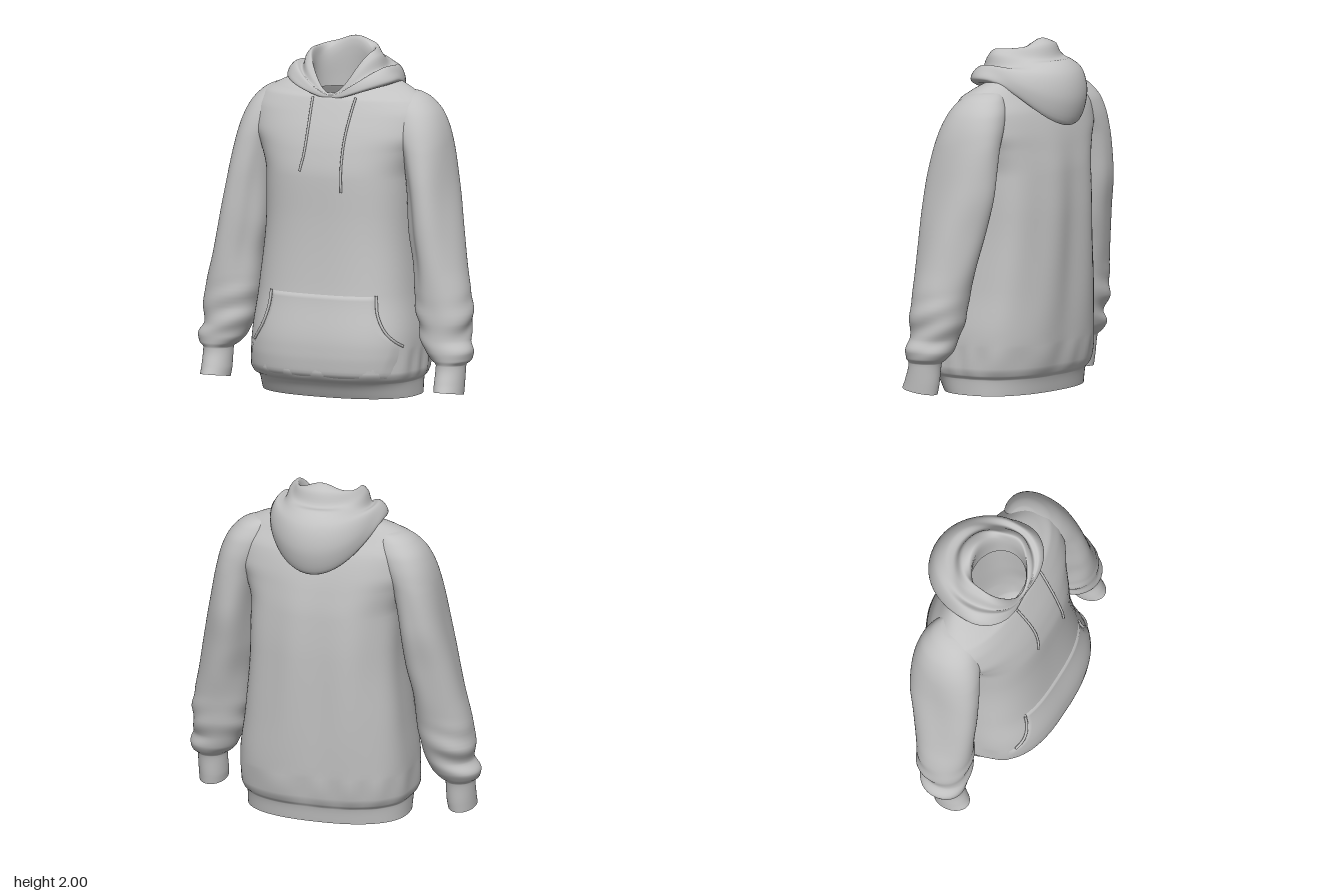
import * as THREE from 'three';

const fabric = new THREE.MeshStandardMaterial({ color: 0xc2c2c2, side: THREE.DoubleSide });
fabric.name = 'grey fabric';

// Cross-sections: [y, xMin, xMax, zFront, zBack, squareness, forward tilt]
const TORSO = [
  [0.00, -0.46, 0.48, 0.31, -0.30, 2.4, 0],
  [0.09, -0.46, 0.485, 0.365, -0.315, 2.5, 0],
  [0.115, -0.478, 0.505, 0.405, -0.33, 2.6, 0],
  [0.16, -0.488, 0.515, 0.425, -0.345, 2.7, 0],
  [0.30, -0.485, 0.515, 0.42, -0.36, 2.8, 0],
  [0.60, -0.46, 0.475, 0.36, -0.37, 2.8, 0],
  [1.00, -0.43, 0.445, 0.325, -0.375, 2.7, 0],
  [1.25, -0.435, 0.445, 0.317, -0.365, 2.6, 0],
  [1.40, -0.49, 0.49, 0.288, -0.345, 2.4, 0],
  [1.50, -0.545, 0.545, 0.255, -0.325, 2.25, 0],
  [1.60, -0.55, 0.55, 0.21, -0.295, 2.2, 0],
  [1.68, -0.505, 0.505, 0.17, -0.255, 2.1, 0],
  [1.735, -0.415, 0.415, 0.14, -0.22, 2, 0.15],
  [1.77, -0.31, 0.31, 0.13, -0.19, 2, 0.33],
  [1.785, -0.20, 0.20, 0.135, -0.17, 2, 0.45],
];
const SLEEVE = [
  [0.045, 0.66, 0.82, 0.235, 0.015, 2, -0.15],
  [0.10, 0.655, 0.82, 0.215, 0.005, 2, -0.1],
  [0.205, 0.655, 0.82, 0.19, -0.01, 2, 0],
  [0.235, 0.62, 0.85, 0.20, -0.04, 2, 0],
  [0.28, 0.58, 0.86, 0.205, -0.065, 2.1, 0],
  [0.35, 0.55, 0.825, 0.20, -0.08, 2.1, 0],
  [0.45, 0.525, 0.835, 0.20, -0.11, 2.2, 0],
  [0.60, 0.50, 0.815, 0.20, -0.13, 2.2, 0],
  [0.75, 0.49, 0.78, 0.20, -0.16, 2.2, 0],
  [0.95, 0.455, 0.74, 0.20, -0.20, 2.2, 0],
  [1.20, 0.435, 0.69, 0.19, -0.245, 2.2, 0],
  [1.40, 0.40, 0.655, 0.165, -0.25, 2.2, 0],
  [1.50, 0.36, 0.632, 0.145, -0.248, 2.2, 0],
  [1.60, 0.32, 0.592, 0.11, -0.235, 2.2, 0],
  [1.68, 0.30, 0.528, 0.06, -0.20, 2.1, 0],
  [1.72, 0.30, 0.46, 0.0, -0.16, 2, 0],
  [1.735, 0.33, 0.37, -0.07, -0.10, 2, 0],
];

// Smooth interpolation of a table's rows by their first column
function at(rows, y) {
  let i = 0;
  while (i < rows.length - 2 && y > rows[i + 1][0]) i++;
  const a = rows[i], b = rows[i + 1], p = rows[Math.max(0, i - 1)], q = rows[Math.min(rows.length - 1, i + 2)];
  const h = b[0] - a[0], t = Math.min(1, Math.max(0, (y - a[0]) / h));
  const slope = (r, s, k) => (s[k] - r[k]) / (s[0] - r[0]);
  return a.map((v, k) => {
    const d = slope(a, b, k);
    // limited tangents avoid overshoot at tight gathers
    const lim = (e) => (e * d <= 0 ? 0 : Math.sign(d) * Math.min(Math.abs(2 * e * d / (e + d)), 3 * Math.abs(d)));
    const m0 = i === 0 ? d : lim(slope(p, a, k));
    const m1 = i === rows.length - 2 ? d : lim(slope(b, q, k));
    const t2 = t * t, t3 = t2 * t;
    return (2 * t3 - 3 * t2 + 1) * v + (t3 - 2 * t2 + t) * h * m0 + (3 * t2 - 2 * t3) * b[k] + (t3 - t2) * h * m1;
  });
}

// True for a point well inside the armhole region of a lofted part
function inside(rows, side, [x, y, z]) {
  if (y < 1.2 || y > rows[rows.length - 1][0]) return false;
  const [, x0, x1, zf, zb, n] = at(rows, y);
  const a = Math.abs((2 * side * x - x0 - x1) / (x1 - x0)), b = Math.abs((2 * z - zf - zb) / (zf - zb));
  return a ** n + b ** n < 0.92;
}

// Surface from a grid of points; flip reverses the corner order, hidden cells are left open
function grid(nu, nv, point, flip = false, hidden = () => false) {
  const pts = [], idx = [], w = nu + 1;
  for (let j = 0; j <= nv; j++) for (let i = 0; i <= nu; i++) pts.push(point(i / nu, j / nv));
  const cut = pts.map(hidden);
  for (let j = 0; j < nv; j++) for (let i = 0; i < nu; i++) {
    const a = j * w + i, b = a + 1, c = a + w, d = c + 1;
    if (cut[a] && cut[b] && cut[c] && cut[d]) continue;
    if (flip) idx.push(a, c, b, b, c, d);
    else idx.push(a, b, c, b, d, c);
  }
  const g = new THREE.BufferGeometry();
  g.setAttribute('position', new THREE.Float32BufferAttribute(pts.flat(), 3));
  g.setIndex(idx);
  g.computeVertexNormals();
  // share normals along the seam of closed rings
  const n = g.attributes.normal, P = g.attributes.position;
  for (let j = 0; j <= nv; j++) {
    const a = j * w, b = a + nu;
    const p = new THREE.Vector3().fromBufferAttribute(P, a), q = new THREE.Vector3().fromBufferAttribute(P, b);
    if (p.distanceTo(q) > 1e-5) continue;
    const s = new THREE.Vector3().fromBufferAttribute(n, a).add(new THREE.Vector3().fromBufferAttribute(n, b)).normalize();
    n.setXYZ(a, s.x, s.y, s.z);
    n.setXYZ(b, s.x, s.y, s.z);
  }
  return g;
}

// Tube of cloth through the cross-sections, with a fold function
function loft(rows, side, fold, hidden, nu = 96, per = 6) {
  const nv = (rows.length - 1) * per;
  return grid(nu, nv, (u, v) => {
    const k = Math.min(rows.length - 2, Math.floor(v * (rows.length - 1) + 1e-6));
    const f = v * (rows.length - 1) - k;
    const [y, x0, x1, zf, zb, n, tilt] = at(rows, rows[k][0] + f * (rows[k + 1][0] - rows[k][0]));
    const t = u * Math.PI * 2, c = Math.cos(t), s = Math.sin(t);
    const r = 1 / Math.pow(Math.abs(c) ** n + Math.abs(s) ** n, 1 / n);
    const o = fold(t, y);
    const dz = s * (r * (zf - zb) / 2 + o);
    return [side * ((x0 + x1) / 2 + c * (r * (x1 - x0) / 2 + o)), y - tilt * dz, (zf + zb) / 2 + dz];
  }, side > 0, hidden);
}

// Depth of the torso's front at (x, y)
function frontZ(x, y) {
  const [, x0, x1, zf, zb, n] = at(TORSO, y);
  const k = Math.min(0.995, Math.abs((x - (x0 + x1) / 2) / ((x1 - x0) / 2)));
  return (zf + zb) / 2 + (zf - zb) / 2 * Math.pow(1 - k ** n, 1 / n);
}

const bump = (y, a, b) => (y <= a || y >= b ? 0 : Math.sin(Math.PI * (y - a) / (b - a)));

// Long drapes down the back, small gathers above the hem
function torsoFold(t, y) {
  const back = Math.max(0, -Math.sin(t));
  return back * bump(y, 0.12, 1.6) * 0.009 * Math.sin(9 * t + 1.2 * y)
    + bump(y, 0.09, 0.3) * 0.005 * Math.sin(15 * t + 2 * Math.sin(3 * t));
}

// Slanting folds bunched above the cuff, a soft crease down the inner front of the arm
const sleeveFold = (phase) => (t, y) =>
  bump(y, 0.21, 0.62) * 0.009 * Math.sin(38 * y + 2.5 * Math.sin(t + phase) + phase) * (0.6 + 0.4 * Math.cos(2 * t + phase))
  + bump(y, 0.5, 1.45) * 0.007 * Math.sin(4 * t + 2 * y + phase)
  - bump(y, 0.5, 1.5) * 0.018 * Math.exp(-(((t - 2.25) / 0.35) ** 2));

// Hood profiles [radius, y]: neck, pouch, fold against the collar, lip, and back down inside
const HOOD = {
  front: [[0.15, 1.70], [0.165, 1.68], [0.175, 1.685], [0.178, 1.695], [0.176, 1.705], [0.172, 1.707], [0.168, 1.71], [0.16, 1.712], [0.155, 1.70], [0.153, 1.69]],
  side: [[0.22, 1.75], [0.30, 1.765], [0.335, 1.79], [0.32, 1.83], [0.285, 1.865], [0.25, 1.85], [0.222, 1.92], [0.185, 1.95], [0.172, 1.88], [0.172, 1.71]],
  back: [[0.19, 1.77], [0.29, 1.635], [0.365, 1.522], [0.412, 1.66], [0.385, 1.81], [0.315, 1.885], [0.255, 1.89], [0.215, 1.975], [0.15, 2.0], [0.15, 1.71]],
};
function hoodGeometry() {
  const nu = 80, nv = 54;
  const curves = [];
  for (let i = 0; i <= nu; i++) {
    const t = i / nu * Math.PI * 2, c = Math.cos(t), s = Math.sin(t);
    const end = c > 0 ? HOOD.front : HOOD.back;
    const pts = HOOD.side.map(([r, y], k) => {
      const R = r * s * s + end[k][0] * c * c, Y = y * s * s + end[k][1] * c * c;
      const o = k > 2 && k < 8 ? 0.006 * s * s * Math.sin(5 * t + k) : 0;
      return new THREE.Vector3((R + o) * s, Y, -0.02 + (R + o) * c);
    });
    curves.push(new THREE.CatmullRomCurve3(pts, false, 'centripetal').getPoints(nv));
  }
  return grid(nu, nv, (u, v) => curves[Math.round(u * nu) % nu][Math.round(v * nv)].toArray());
}

// Pocket outline: [y, right edge, left edge]
const POCKET = [
  [0.12, -0.42, 0.44], [0.20, -0.44, 0.465], [0.27, -0.425, 0.49], [0.31, -0.385, 0.495],
  [0.40, -0.325, 0.425], [0.50, -0.29, 0.38], [0.60, -0.28, 0.365],
];
function pocketGeometry() {
  return grid(40, 30, (u, v) => {
    const y = 0.12 + 0.48 * v, [, a, b] = at(POCKET, y), x = a + (b - a) * u;
    const rim = u === 0 || u === 1 || v === 0 || v === 1;
    return [x, y, frontZ(x, y) + (rim ? -0.006 : 0.01 * Math.min(1, v * 4))];
  });
}

// Cord lying on the torso's front
function cord(points, radius) {
  const flat = new THREE.CatmullRomCurve3(points.map(([x, y]) => new THREE.Vector3(x, y, 0))).getPoints(24);
  flat.forEach((p) => { p.z = frontZ(p.x, p.y) + 0.008; });
  return new THREE.TubeGeometry(new THREE.CatmullRomCurve3(flat), 48, radius, 8);
}

export function createModel() {
  const model = new THREE.Group();
  model.name = 'hoodedSweatshirt';
  const add = (name, geometry) => {
    const mesh = new THREE.Mesh(geometry, fabric);
    mesh.name = name;
    model.add(mesh);
  };

  // Torso and sleeves, open to each other at the armholes
  add('torso', loft(TORSO, 1, torsoFold, (p) => inside(SLEEVE, Math.sign(p[0]), p)));
  const inTorso = (p) => inside(TORSO, 1, p);
  add('leftSleeve', loft(SLEEVE, 1, sleeveFold(0.4), inTorso));
  add('rightSleeve', loft(SLEEVE, -1, sleeveFold(1.9), inTorso));
  add('hood', hoodGeometry());

  // Front pocket with stitched hand openings
  add('pocket', pocketGeometry());
  for (const [name, k] of [['rightPocketEdge', 1], ['leftPocketEdge', 2]]) {
    add(name, cord(POCKET.slice(3).map((r) => [r[k], r[0]]), 0.008));
  }

  // Drawstrings
  add('rightDrawstring', cord([[-0.1, 1.69], [-0.088, 1.5], [-0.092, 1.38], [-0.11, 1.285]], 0.007));
  add('leftDrawstring', cord([[0.165, 1.70], [0.15, 1.5], [0.148, 1.35], [0.155, 1.18]], 0.007));
  return model;
}
